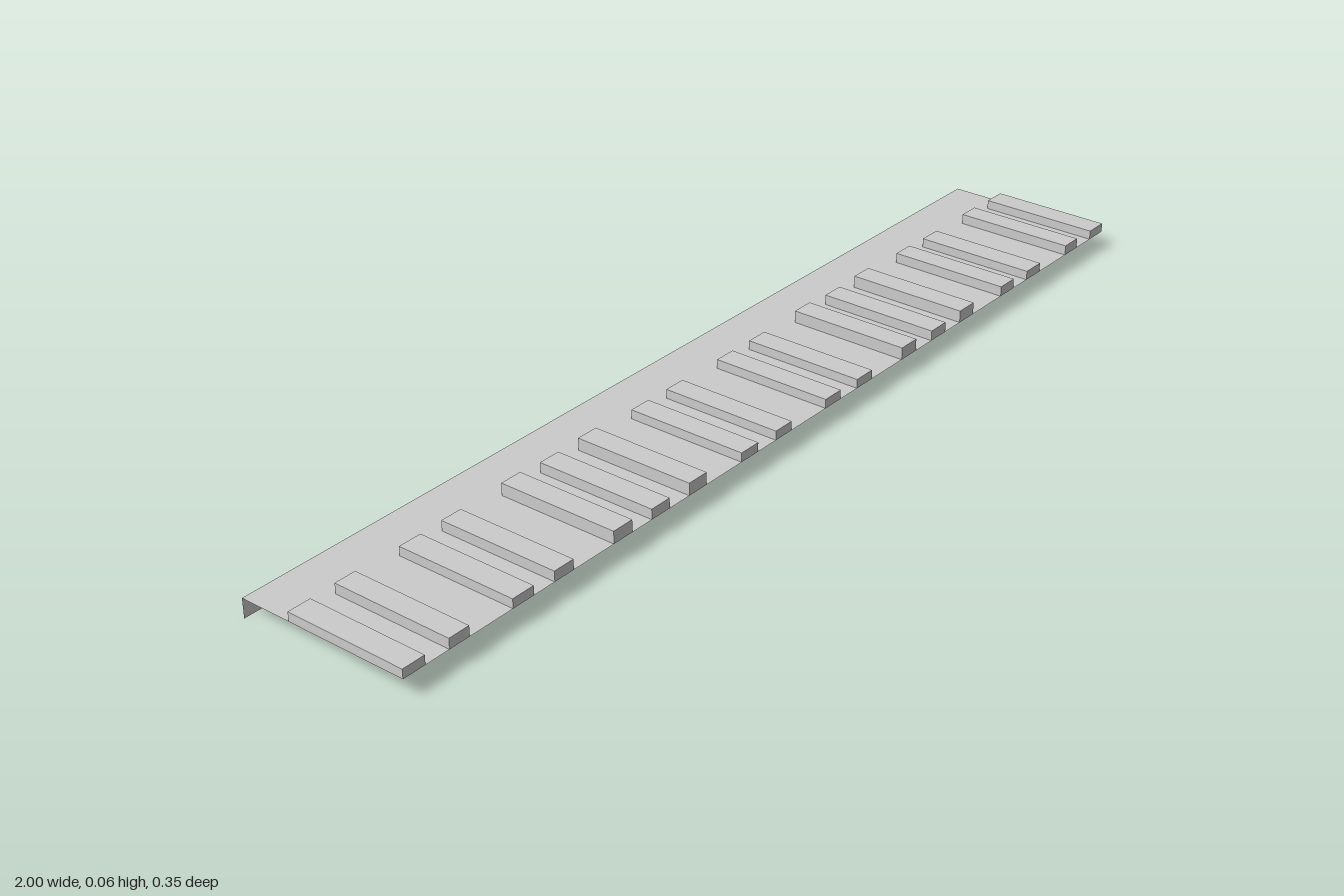
import * as THREE from 'three';

const SHEET_Y = 0.038, BACK = -0.175, FRONT = 0.175, RIDGE_BACK = -0.07;

// Ridges of the right half: [inner x, outer x, top y]
const HALF = [
  [0.05, 0.095, 0.056], [0.145, 0.191, 0.056], [0.286, 0.332, 0.062],
  [0.383, 0.429, 0.058], [0.478, 0.524, 0.062], [0.621, 0.666, 0.058],
  [0.714, 0.762, 0.056], [0.858, 0.902, 0.058], [0.953, 1, 0.056],
];

export function createModel() {
  const group = new THREE.Group();
  const material = new THREE.MeshStandardMaterial({
    color: 0xcccccc, side: THREE.DoubleSide, flatShading: true,
  });

  const add = (geometry, name) => {
    const mesh = new THREE.Mesh(geometry, material);
    mesh.name = name;
    group.add(mesh);
  };

  // Flat piece of the sheet between two x and two z values
  const addSheet = (x0, x1, z0, z1, name) => add(
    new THREE.PlaneGeometry(x1 - x0, z1 - z0).rotateX(-Math.PI / 2)
      .translate((x0 + x1) / 2, SHEET_Y, (z0 + z1) / 2), name);

  // Hollow raised ridge: a box without its bottom face
  const addRidge = (x0, x1, top) => {
    const box = new THREE.BoxGeometry(x1 - x0, top - SHEET_Y, FRONT - RIDGE_BACK);
    const index = Array.from(box.index.array);
    index.splice(18, 6);
    box.setIndex(index);
    box.clearGroups();
    box.translate((x0 + x1) / 2, (top + SHEET_Y) / 2, (FRONT + RIDGE_BACK) / 2);
    add(box, 'ridge');
  };

  // Mirror the ridges to the other half, ordered along x
  const ridges = [...HALF.map(([a, b, h]) => [-b, -a, h]).reverse(), ...HALF];

  // Ridges, with the sheet open beneath them
  ridges.forEach(([x0, x1, top], i) => {
    addRidge(x0, x1, top);
    if (i > 0) addSheet(ridges[i - 1][1], x0, RIDGE_BACK, FRONT, 'sheetBetweenRidges');
  });

  // Continuous rear strip of the sheet
  addSheet(-1, 1, BACK, RIDGE_BACK, 'rearSheet');

  // Folded-down lip along the back edge
  add(new THREE.PlaneGeometry(2, SHEET_Y).rotateY(Math.PI)
    .translate(0, SHEET_Y / 2, BACK), 'backLip');

  return group;
}
